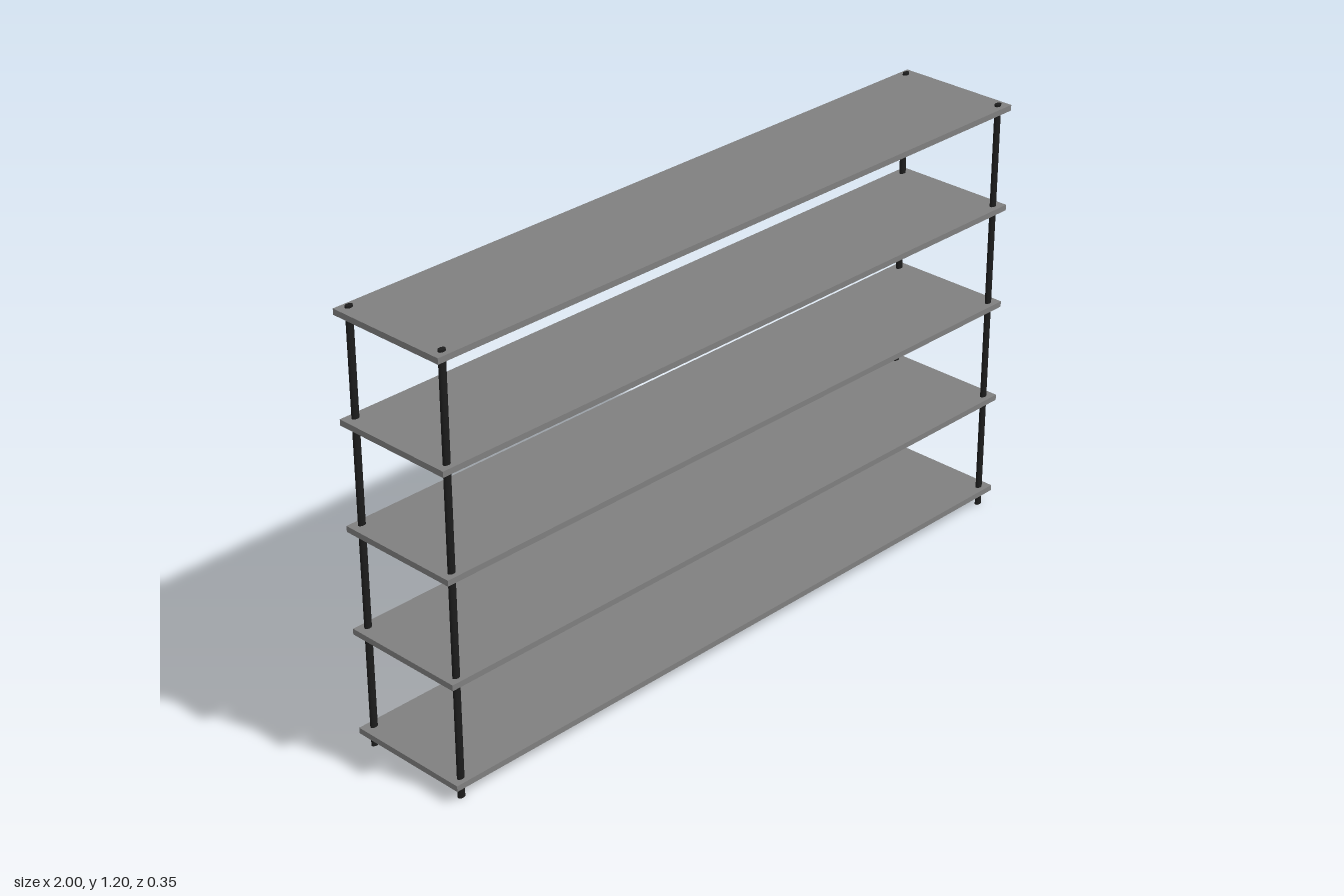
import * as THREE from 'three';

export function createModel() {
  const group = new THREE.Group();
  const shelfGrey = new THREE.MeshStandardMaterial({ color: 0x808080 });
  shelfGrey.name = 'shelfGrey';
  const postBlack = new THREE.MeshStandardMaterial({ color: 0x1c1c1c });
  postBlack.name = 'postBlack';

  // Five evenly spaced boards
  const board = new THREE.BoxGeometry(2, 0.016, 0.355);
  for (let i = 0; i < 5; i++) {
    const shelf = new THREE.Mesh(board, shelfGrey);
    shelf.name = `shelf${i + 1}`;
    shelf.position.y = 0.046 + i * 0.285;
    group.add(shelf);
  }

  // Four slightly oval posts, running from the floor through every board
  const rod = new THREE.CylinderGeometry(1, 1, 1.2, 24);
  rod.scale(0.0105, 1, 0.007);
  for (const [xName, x] of [['Left', 0.97], ['Right', -0.97]]) {
    for (const [zName, z] of [['front', 0.157], ['back', -0.157]]) {
      const post = new THREE.Mesh(rod, postBlack);
      post.name = `${zName}${xName}Post`;
      post.position.set(x, 0.6, z);
      group.add(post);
    }
  }
  return group;
}
